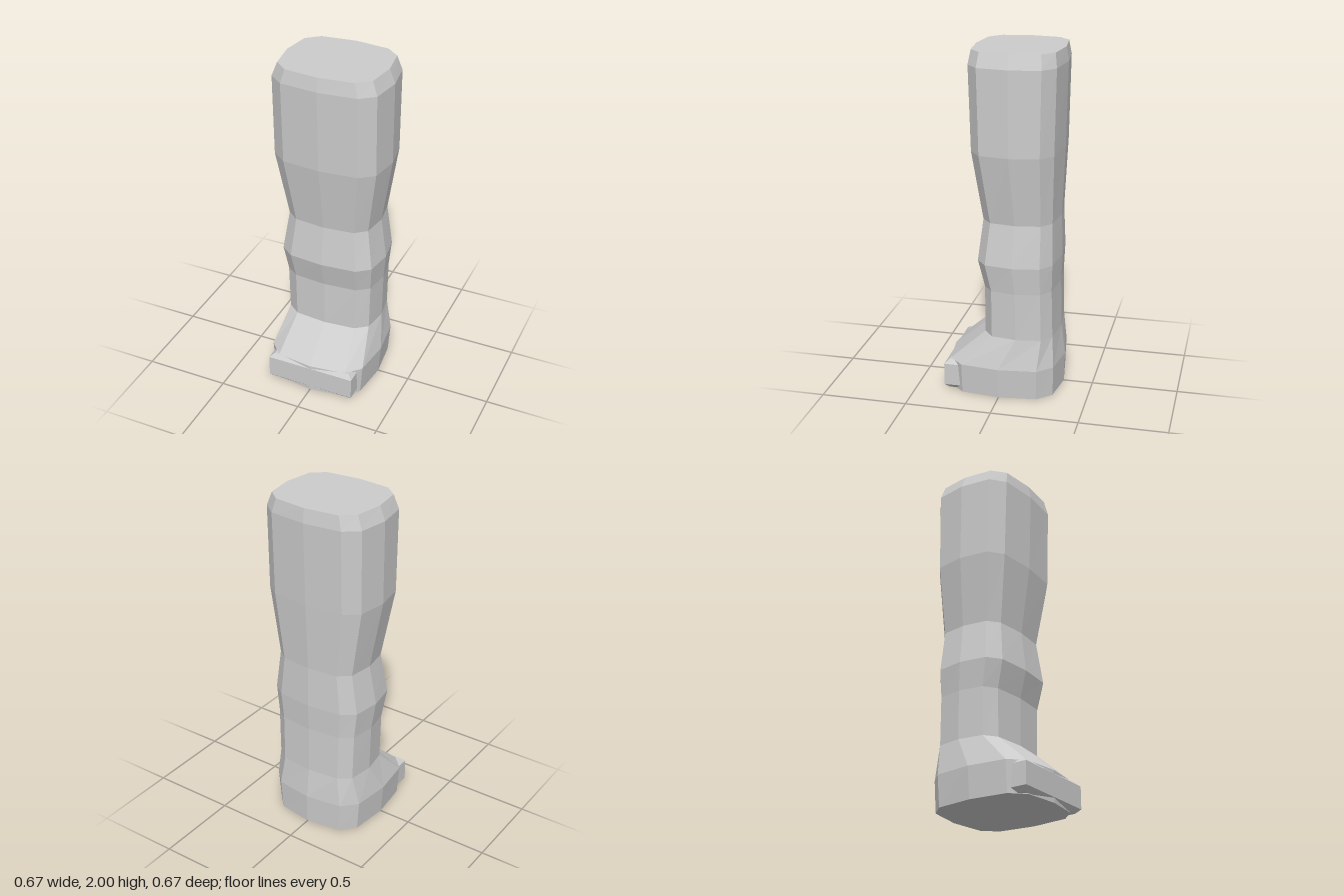
import * as THREE from 'three';

const material = new THREE.MeshStandardMaterial({ color: 0xcccccc, flatShading: true });

// Rounded twelve-sided outline: [fraction of half width, fraction of half depth]
const half = [[0, 1], [0.667, 0.92], [0.917, 0.67], [1, 0], [0.917, -0.66], [0.667, -0.91], [0, -1]];
const outline = [...half, ...half.slice(1, -1).reverse().map(([x, z]) => [-x, z])];

// Skins equal rings of points, ordered from bottom to top, and caps both ends
function loft(rings) {
  const n = rings[0].length;
  const index = [];
  for (let r = 0; r < rings.length - 1; r++) {
    for (let i = 0; i < n; i++) {
      const j = (i + 1) % n;
      const a = r * n + i, b = r * n + j;
      index.push(a, b, b + n, a, b + n, a + n);
    }
  }
  const top = (rings.length - 1) * n;
  for (let i = 1; i < n - 1; i++) {
    index.push(0, i + 1, i);
    index.push(top, top + i, top + i + 1);
  }
  const geometry = new THREE.BufferGeometry();
  geometry.setAttribute('position', new THREE.Float32BufferAttribute(rings.flat(2), 3));
  geometry.setIndex(index);
  const flat = geometry.toNonIndexed();
  flat.computeVertexNormals();
  return flat;
}

export function createModel() {
  const model = new THREE.Group();
  model.name = 'leg';

  // Leg and boot: [height, half width, front z, back z]
  const sections = [
    [0, 0.305, 0.33, -0.328],
    [0.18, 0.32, 0.333, -0.333],
    [0.36, 0.28, 0.12, -0.31],
    [0.64, 0.287, 0.12, -0.303],
    [0.8, 0.305, 0.16, -0.31],
    [1.04, 0.267, 0.13, -0.302],
    [1.44, 0.333, 0.19, -0.318],
    [1.92, 0.333, 0.205, -0.328],
    [2, 0.3, 0.191, -0.315],
  ];
  const legRings = sections.map(([y, width, front, back]) => {
    const centre = (front + back) / 2, depth = (front - back) / 2;
    return outline.map(([x, z]) => [x * width, y, centre + z * depth]);
  });
  const leg = new THREE.Mesh(loft(legRings), material);
  leg.name = 'legAndBoot';
  model.add(leg);

  // Toe cap: block with bevelled top and bottom, sunk into the boot
  const capSections = [[0.004, 0.242, 0.308], [0.03, 0.267, 0.333], [0.16, 0.267, 0.333], [0.182, 0.242, 0.308]];
  const capRings = capSections.map(([y, x, z]) => [[-x, y, z], [x, y, z], [x, y, 0.2], [-x, y, 0.2]]);
  const toeCap = new THREE.Mesh(loft(capRings), material);
  toeCap.name = 'toeCap';
  model.add(toeCap);

  return model;
}
